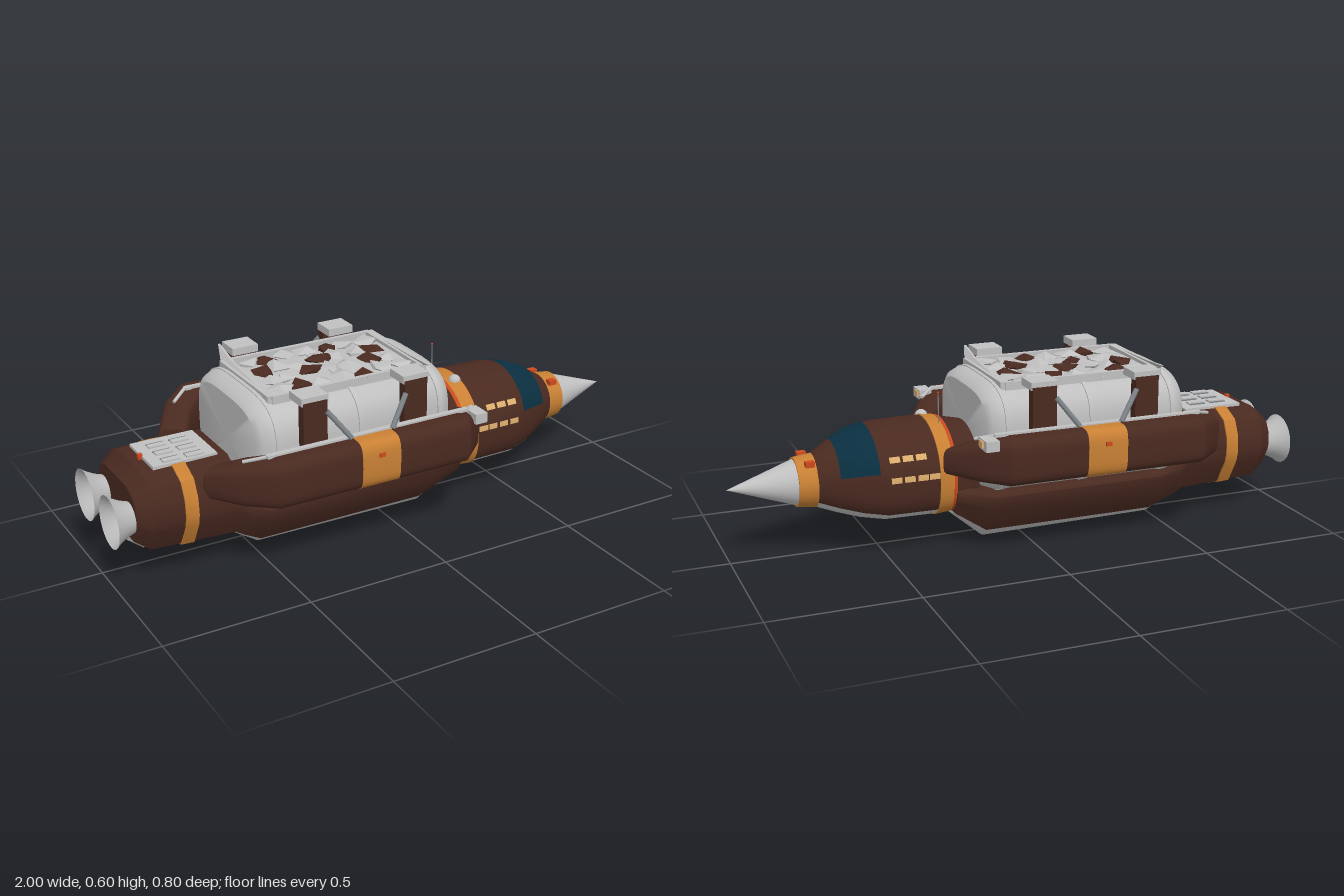
import * as THREE from 'three';
import { toCreasedNormals } from 'three/addons/utils/BufferGeometryUtils.js';

const mat = (name, color) => Object.assign(new THREE.MeshStandardMaterial({ color }), { name });
const V = (x, y, z) => new THREE.Vector3(x, y, z);
const { lerp, degToRad: rad } = THREE.MathUtils;

export function createModel() {
  const brown = mat('hull brown', 0x4a2a20), grey = mat('light grey', 0xc0c0c0), steel = mat('steel', 0x7c8286);
  const orange = mat('band orange', 0xc88034), teal = mat('window teal', 0x0a2f40);
  const red = mat('signal red', 0xcc4a1e), tan = mat('lit window', 0xdcae6c);
  const bell = mat('engine grey', 0xbababa);
  bell.side = THREE.DoubleSide;
  const ship = new THREE.Group();
  ship.name = 'cargoShip';

  const add = (name, geo, m, x = 0, y = 0, z = 0) => {
    const mesh = new THREE.Mesh(geo, m);
    mesh.name = name;
    mesh.position.set(x, y, z);
    ship.add(mesh);
    return mesh;
  };
  const box = (name, m, w, h, d, x, y, z) => add(name, new THREE.BoxGeometry(w, h, d), m, x, y, z);
  const rod = (name, m, a, b, r) => {
    const mesh = add(name, new THREE.CylinderGeometry(r, r, a.distanceTo(b), 10), m);
    mesh.position.copy(a).lerp(b, 0.5);
    mesh.quaternion.setFromUnitVectors(V(0, 1, 0), b.clone().sub(a).normalize());
  };

  // Skin over rings running toward +x, each ring turning from +z to +y
  const loft = (rings, closed = true, caps = true, crease = 0.6) => {
    const p = [], tri = (...q) => q.forEach(v => p.push(v.x, v.y, v.z));
    const n = rings[0].length;
    for (let i = 0; i < rings.length - 1; i++) {
      for (let j = 0; j < (closed ? n : n - 1); j++) {
        const k = (j + 1) % n, A = rings[i], B = rings[i + 1];
        tri(A[j], B[j], A[k]);
        tri(B[j], B[k], A[k]);
      }
    }
    if (caps) [rings[0], rings[rings.length - 1]].forEach((r, end) => {
      const c = r.reduce((s, v) => s.add(v), V(0, 0, 0)).divideScalar(n);
      r.forEach((v, j) => { const w = r[(j + 1) % n]; end ? tri(c, w, v) : tri(c, v, w); });
    });
    const g = new THREE.BufferGeometry();
    g.setAttribute('position', new THREE.Float32BufferAttribute(p, 3));
    return toCreasedNormals(g, crease);
  };
  const mirrorRing = r => r.map(v => V(v.x, v.y, -v.z)).reverse();
  const sample = (table, x) => {
    let i = 0;
    while (i < table.length - 2 && x > table[i + 1][0]) i++;
    const a = table[i], b = table[i + 1], t = (x - a[0]) / (b[0] - a[0]);
    return a.map((v, k) => lerp(v, b[k], t));
  };
  const round = (t, n) => [Math.cos(t), Math.sin(t)].map(c => Math.sign(c) * Math.abs(c) ** (2 / n));

  // Hull: x, half width, top, widest y, paint line y and z, keel y and z
  const hull = [
    [-0.93, 0.165, 0.335, 0.24, 0.155, 0.125, 0.13, 0.09],
    [-0.88, 0.2, 0.372, 0.24, 0.12, 0.14, 0.09, 0.09],
    [-0.59, 0.2, 0.375, 0.23, 0.11, 0.15, 0.08, 0.1],
    [-0.555, 0.2, 0.24, 0.2, 0.085, 0.14, 0.058, 0.1],
    [-0.48, 0.2, 0.2, 0.18, 0.035, 0.107, 0.008, 0.092],
    [0.14, 0.2, 0.2, 0.18, 0.035, 0.107, 0, 0.092],
    [0.27, 0.185, 0.24, 0.19, 0.13, 0.158, 0.112, 0.12],
  ];
  const upper = ([x, w, yt, ym, yg, wg]) => {
    const d = yt - ym, e = ym - yg;
    const half = [V(x, yg, wg), V(x, ym - 0.3 * e, 0.96 * w), V(x, ym, w), V(x, ym + 0.4 * d, 0.98 * w),
      V(x, yt - 0.2 * d, 0.85 * w), V(x, yt, 0.55 * w)];
    return [...half, ...mirrorRing(half)];
  };
  const lower = ([x, , , , yg, wg, yb, wb]) => {
    const half = [V(x, yg, -wg), V(x, lerp(yb, yg, 0.5), -wb), V(x, lerp(yb, yg, 0.15), -wb * 0.78), V(x, yb, -wb * 0.5)];
    return [...half, ...mirrorRing(half)];
  };
  add('hullUpper', loft(hull.map(upper)), brown);
  add('hullBelly', loft(hull.map(lower)), grey);
  const bandRing = x => {
    const s = sample(hull, x);
    return [...upper(s), ...lower(s).slice(1, -1)].map(v => V(x, 0.23 + (v.y - 0.23) * 1.03, v.z * 1.025));
  };
  add('rearBand', loft([bandRing(-0.78), bandRing(-0.735)]), orange);

  // Cabin: x, half width, half height, centre y, squareness of the underside
  const cabin = [[0.185, 0.165, 0.14, 0.265, 3], [0.27, 0.18, 0.153, 0.27, 3], [0.34, 0.19, 0.16, 0.272, 3],
    [0.5, 0.188, 0.158, 0.272, 3], [0.58, 0.163, 0.143, 0.27, 2.8], [0.65, 0.128, 0.118, 0.264, 2.5],
    [0.72, 0.086, 0.086, 0.255, 2]];
  const skin = (x0, x1, from, to, off = 0, steps = 24) => {
    const xs = [x0, ...cabin.map(s => s[0]).filter(x => x > x0 && x < x1), x1];
    return xs.map(x => {
      const [, w, h, cy, n] = sample(cabin, x);
      return Array.from({ length: steps + 1 }, (_, i) => {
        const t = rad(lerp(from, to, i / steps)), [c, s] = round(t, Math.sin(t) < 0 ? n : 2);
        return V(x, cy + (h + off) * s, (w + off) * c);
      });
    });
  };
  add('cabinUpper', loft(skin(0.185, 0.72, -40, 220, 0, 48), false), brown);
  add('cabinBelly', loft(skin(0.185, 0.72, 220, 320), false), grey);
  add('cabinBand', loft(skin(0.28, 0.33, 0, 360, 0.004, 64), false), orange);
  add('cabinSeal', loft(skin(0.268, 0.279, 0, 360, 0.004, 64), false), red);
  add('windscreen', loft(skin(0.53, 0.65, 12, 168, 0.004, 32), false, false), teal);
  for (const [deg, xs] of [[24, [0.39, 0.435, 0.48]], [0, [0.35, 0.39, 0.435, 0.48]]]) {
    for (const x of xs) {
      for (const a of [deg, 173 - deg]) {
        add('cabinWindow', loft(skin(x - 0.018, x + 0.018, a, a + 7, 0.004, 4), false, false), tan);
      }
    }
  }

  // Nose
  add('noseBand', new THREE.CylinderGeometry(0.083, 0.092, 0.075, 40).rotateZ(-Math.PI / 2), orange, 0.738, 0.255, 0);
  add('noseCone', new THREE.ConeGeometry(0.078, 0.228, 40).rotateZ(-Math.PI / 2), grey, 0.886, 0.255, 0);
  for (const s of [1, -1]) box('noseLight', red, 0.03, 0.018, 0.025, 0.735, 0.33, s * 0.06);
  rod('antenna', steel, V(0.29, 0.41, -0.058), V(0.29, 0.525, -0.058), 0.002);
  add('antennaTip', new THREE.SphereGeometry(0.004, 8, 6), red, 0.29, 0.525, -0.058);
  add('sensorDome', new THREE.SphereGeometry(0.022, 16, 10), grey, 0.315, 0.42, 0.052);

  // Cargo container
  const drum = (x, k) => Array.from({ length: 48 }, (_, i) => {
    const [c, s] = round(i / 24 * Math.PI, 3.6);
    return V(x, 0.376 + 0.186 * k * s, 0.262 * k * c);
  });
  add('container', loft([[-0.54, 0.84], [-0.525, 0.93], [-0.49, 1], [0.13, 1], [0.165, 0.93], [0.18, 0.84]]
    .map(([x, k]) => drum(x, k))), grey);
  for (const x of [-0.48, -0.18, 0.12]) add('containerRib', loft([drum(x - 0.008, 1.015), drum(x + 0.008, 1.015)]), grey);
  for (const s of [1, -1]) {
    box('rimSide', grey, 0.56, 0.03, 0.016, -0.18, 0.558, s * 0.178);
    box('rimEnd', grey, 0.03, 0.03, 0.36, -0.18 + s * 0.28, 0.558, 0);
    // lip leaning inward and rising to one corner
    const lip = new THREE.Shape([[-0.18, 0.566], [0.18, 0.566], [0.262, 0.598], [0.12, 0.583], [-0.02, 0.577]]
      .map(q => new THREE.Vector2(...q)));
    const g = new THREE.ExtrudeGeometry(lip, { depth: 0.008, bevelEnabled: false }).rotateY(s * -Math.PI / 2);
    const p = g.attributes.position;
    for (let i = 0; i < p.count; i++) p.setX(i, p.getX(i) - s * 0.9 * (p.getY(i) - 0.566));
    g.computeVertexNormals();
    add('rimLip', g, grey, -0.18 + s * 0.29, 0, 0);
  }
  // Ore load
  let seed = 11;
  const rnd = () => (seed = (seed * 16807) % 2147483647) / 2147483647;
  for (let i = 0; i < 28; i++) {
    const size = 0.052 + rnd() * 0.014;
    const shape = new THREE.OctahedronGeometry(size, 0).rotateX(rnd() * 3).rotateZ(rnd() * 3)
      .scale(1, 0.33, 0.72).rotateY(rnd() * 6);
    shape.computeVertexNormals();
    add('rock', shape, i % 3 === 1 ? brown : grey, -0.4 + (i % 7) * 0.074 + (rnd() - 0.5) * 0.03, 0.562,
      -0.125 + Math.floor(i / 7) * 0.083 + (rnd() - 0.5) * 0.04);
  }

  // Side pods: outer x and z, inner x and z, bottom, top
  const pod = [[-0.71, 0.185, -0.62, 0.14, 0.27, 0.37], [-0.63, 0.32, -0.57, 0.215, 0.275, 0.415],
    [-0.54, 0.393, -0.51, 0.275, 0.275, 0.437], [0.16, 0.393, 0.13, 0.275, 0.275, 0.437],
    [0.24, 0.32, 0.19, 0.215, 0.278, 0.415], [0.32, 0.19, 0.26, 0.14, 0.28, 0.365]];
  const podRing = ([xo, zo, xi, zi, yb, yt], s, k = 1) => {
    const r = Array.from({ length: 32 }, (_, i) => {
      const [c, h] = round(i / 16 * Math.PI, 3.7), t = 0.5 + 0.5 * c * k;
      return V(lerp(xi, xo, t), (yb + yt) / 2 + h * k * (yt - yb) / 2, lerp(zi, zo, t));
    });
    return s > 0 ? r : mirrorRing(r);
  };
  for (const s of [1, -1]) {
    add('sidePod', loft(pod.map(p => podRing(p, s))), brown);
    add('podBand', loft([-0.25, -0.11].map(x => podRing([x, 0.393, x, 0.275, 0.275, 0.437], s, 1.02))), orange);
    box('podLight', red, 0.02, 0.014, 0.008, -0.18, 0.39, s * 0.394);
    box('podRail', grey, 0.74, 0.01, 0.02, -0.18, 0.438, s * 0.316);
    rod('podRailEnd', grey, V(0.19, 0.438, s * 0.316), V(0.24, 0.42, s * 0.27), 0.006);
    rod('podRailEnd', grey, V(-0.55, 0.438, s * 0.316), V(-0.61, 0.417, s * 0.27), 0.006);
    // pod headlamp
    box('lampHousing', grey, 0.045, 0.035, 0.07, 0.215, 0.418, s * 0.335);
    box('lampGlass', tan, 0.006, 0.022, 0.032, 0.24, 0.42, s * 0.33);
    box('sideSensor', grey, 0.02, 0.016, 0.016, 0.285, 0.337, s * 0.192);
    // container clamps
    for (const [x, dir] of [[-0.365, 1], [0.005, -1]]) {
      box('clampPost', brown, 0.085, 0.16, 0.034, x, 0.495, s * 0.277);
      box('clampPlate', grey, 0.095, 0.026, 0.084, x, 0.579, s * 0.25);
      rod('clampStrut', steel, V(x + dir * 0.04, 0.535, s * 0.296), V(x + dir * 0.11, 0.44, s * 0.33), 0.009);
    }
    // engine
    const profile = [[0.05, 0], [0.052, 0.03], [0.06, 0.055], [0.076, 0.085], [0.088, 0.1]].map(q => new THREE.Vector2(...q));
    add('engineBell', new THREE.LatheGeometry(profile, 32).rotateZ(Math.PI / 2), bell, -0.9, 0.235, s * 0.11);
    add('engineCore', new THREE.CylinderGeometry(0.05, 0.05, 0.03, 24).rotateZ(Math.PI / 2), steel, -0.93, 0.235, s * 0.11);
  }

  // Rear deck hatch
  box('deckHatch', grey, 0.22, 0.016, 0.2, -0.73, 0.375, 0);
  for (const z of [-0.06, 0, 0.06]) {
    for (const x of [-0.77, -0.69]) {
      box('hatchSlot', steel, 0.06, 0.004, 0.008, x, 0.384, z);
      box('hatchRib', grey, 0.06, 0.008, 0.022, x, 0.385, z + 0.018);
    }
  }
  box('deckLight', red, 0.014, 0.02, 0.014, -0.845, 0.38, 0);
  return ship;
}
